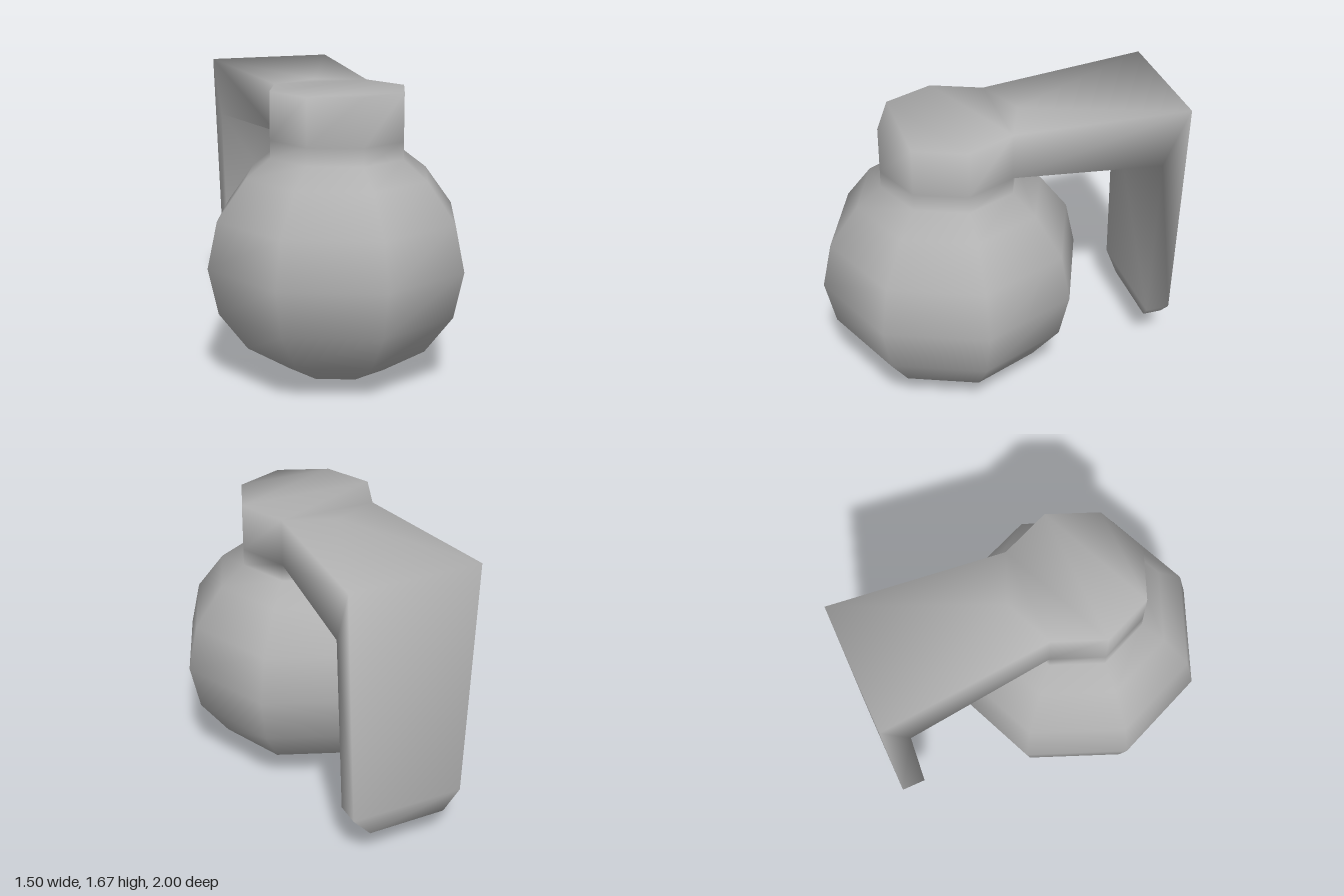
import * as THREE from 'three';

export function createModel() {
  const steel = new THREE.MeshStandardMaterial({ color: 0xb2b2b2 });
  steel.name = 'grey';

  const points = [];
  const add = (x, y, z) => points.push(x, y, z) / 3 - 1;
  const quad = (list, a, b, c, d) => list.push(a, b, c, a, c, d);
  const bodyFaces = [], leverFaces = [];

  // Round body and neck: octagonal rings [radius, height], pole at the bottom
  const SIDES = 8, CENTRE_Z = 0.25;
  const profile = [
    [0.287, 0.055], [0.53, 0.203], [0.693, 0.422], [0.75, 0.685],
    [0.693, 0.945], [0.53, 1.165], [0.39, 1.272], [0.39, 1.37], [0.39, 1.635],
  ];
  const pole = add(0, 0, CENTRE_Z);
  const rings = profile.map(([r, y]) => Array.from({ length: SIDES }, (_, i) => {
    const a = (i / SIDES) * Math.PI * 2;
    return add(r * Math.sin(a), y, CENTRE_Z + r * Math.cos(a));
  }));
  const last = rings.length - 1;
  for (let i = 0; i < SIDES; i++) {
    const n = (i + 1) % SIDES;
    bodyFaces.push(pole, rings[0][n], rings[0][i]);
    for (let j = 0; j < last; j++) {
      // the lever grows out of the two rear faces of the neck
      if (j === last - 1 && (i === 3 || i === 4)) continue;
      quad(bodyFaces, rings[j][i], rings[j][n], rings[j + 1][n], rings[j + 1][i]);
    }
  }
  // Flat neck cap
  const top = rings[last], under = rings[last - 1];
  for (const [a, b, c] of [[7, 0, 1], [7, 1, 2], [7, 2, 6], [6, 2, 3], [6, 3, 5], [5, 3, 4]]) {
    bodyFaces.push(top[a], top[b], top[c]);
  }

  // Lever: stations with outer and inner edges, right (+x) and left (-x) corners
  const station = (oy, oz, ow, iy, iz, iw) => ({
    op: add(ow, oy, oz), om: add(-ow, oy, oz), ip: add(iw, iy, iz), im: add(-iw, iy, iz),
  });
  const stations = [
    { op: top[3], om: top[5], ip: under[3], im: under[5] },
    station(1.67, -1, 0.37, 1.345, -0.86, 0.36),
    station(0.31, -1, 0.325, 0.31, -0.86, 0.325),
    station(0.2, -1, 0.225, 0.2, -0.89, 0.225),
  ];
  for (let k = 0; k < stations.length - 1; k++) {
    const s = stations[k], t = stations[k + 1];
    if (k === 0) {
      // join around the rear corner of the neck
      const m = top[4], u = under[4];
      leverFaces.push(m, s.op, t.op, m, t.op, t.om, m, t.om, s.om);
      leverFaces.push(u, t.ip, s.ip, u, t.im, t.ip, u, s.im, t.im);
    } else {
      quad(leverFaces, s.om, s.op, t.op, t.om);
      quad(leverFaces, s.im, t.im, t.ip, s.ip);
    }
    quad(leverFaces, s.ip, t.ip, t.op, s.op);
    quad(leverFaces, s.im, s.om, t.om, t.im);
  }
  const end = stations[stations.length - 1];
  quad(leverFaces, end.om, end.op, end.ip, end.im);

  // Normals are shared so the shading flows smoothly from neck to lever
  const whole = new THREE.BufferGeometry();
  whole.setAttribute('position', new THREE.Float32BufferAttribute(points, 3));
  whole.setIndex([...bodyFaces, ...leverFaces]);
  whole.computeVertexNormals();

  const group = new THREE.Group();
  group.name = 'roundFlaskWithLever';
  for (const [name, faces] of [['bodyAndNeck', bodyFaces], ['lever', leverFaces]]) {
    const geometry = new THREE.BufferGeometry();
    geometry.setAttribute('position', whole.getAttribute('position').clone());
    geometry.setAttribute('normal', whole.getAttribute('normal').clone());
    geometry.setIndex(faces);
    const mesh = new THREE.Mesh(geometry, steel);
    mesh.name = name;
    group.add(mesh);
  }
  return group;
}
